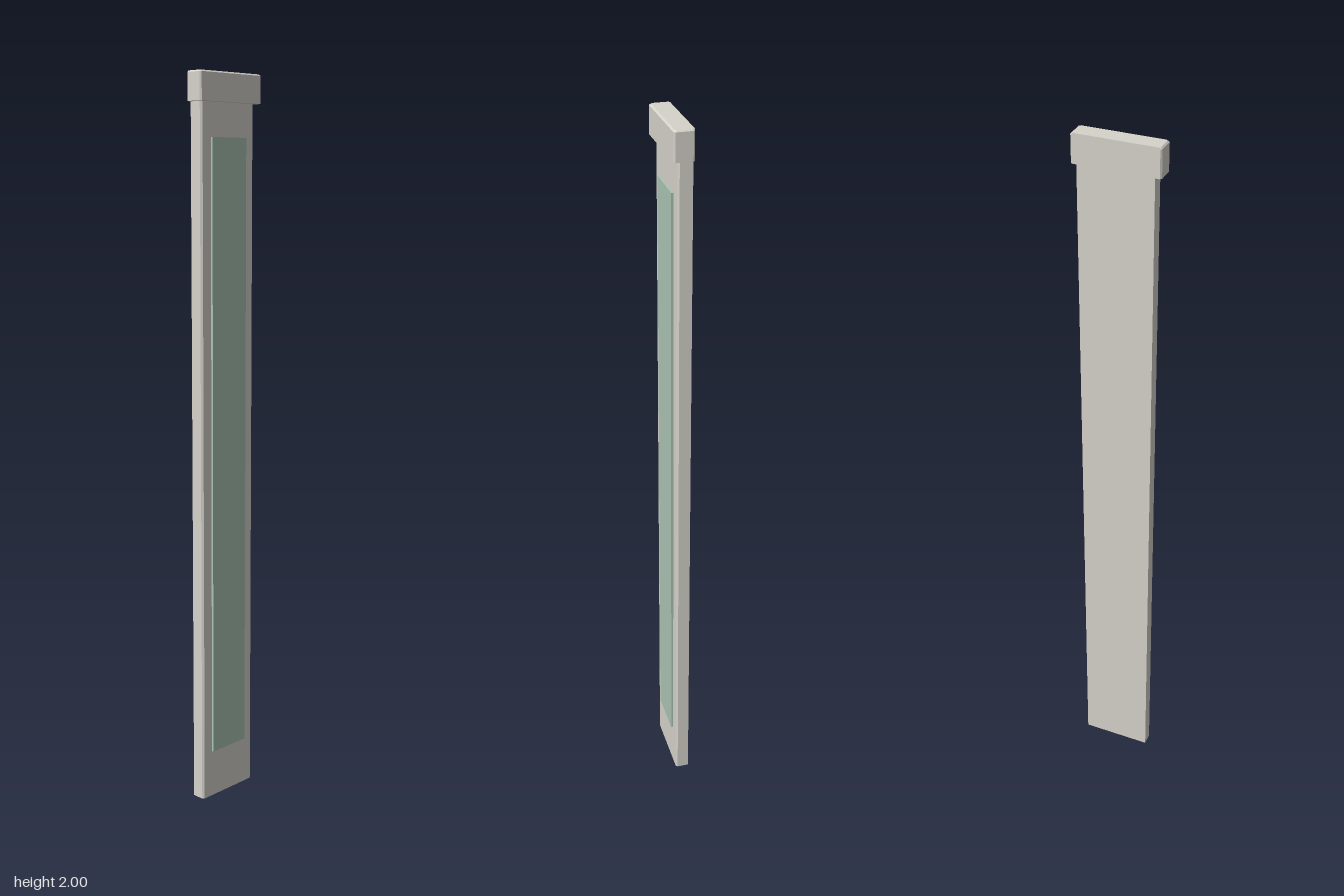
import * as THREE from 'three';
import { ConvexGeometry } from 'three/addons/geometries/ConvexGeometry.js';

const stone = new THREE.MeshStandardMaterial({ color: 0xd6d3cb });
stone.name = 'pale warm grey stone';
const green = new THREE.MeshStandardMaterial({ color: 0xabc4b4 });
green.name = 'pale green inlay';

const BACK = -0.026;

// Horizontal outline with a flat back and chamfered vertical corners
function outline(y, halfWidth, front, chamfer, backChamfer) {
  const points = [];
  for (const s of [-1, 1]) {
    points.push(
      new THREE.Vector3(s * halfWidth, y, front - chamfer),
      new THREE.Vector3(s * (halfWidth - chamfer), y, front),
      new THREE.Vector3(s * halfWidth, y, BACK + backChamfer)
    );
    if (backChamfer > 0) points.push(new THREE.Vector3(s * (halfWidth - backChamfer), y, BACK));
  }
  return points;
}

function addPart(group, name, geometry, material) {
  const mesh = new THREE.Mesh(geometry, material);
  mesh.name = name;
  group.add(mesh);
  return mesh;
}

export function createModel() {
  const group = new THREE.Group();
  group.name = 'pilaster';

  // Tall shaft with chamfered front corners
  addPart(group, 'shaft', new ConvexGeometry([
    ...outline(0, 0.099, 0.012, 0.005, 0),
    ...outline(1.93, 0.099, 0.012, 0.005, 0),
  ]), stone);

  // Cap overhanging the front and sides, chamfered along its top edges
  const c = 0.004;
  addPart(group, 'cap', new ConvexGeometry([
    ...outline(1.924, 0.1145, 0.026, c, c),
    ...outline(2 - c, 0.1145, 0.026, c, c),
    ...outline(2, 0.1145 - c, 0.026 - c, c, c),
  ]), stone);

  // Raised inlay on the front of the shaft
  const inlay = addPart(group, 'inlayPanel', new THREE.BoxGeometry(0.128, 1.7, 0.007), green);
  inlay.position.set(0, 0.985, 0.0145);

  return group;
}
